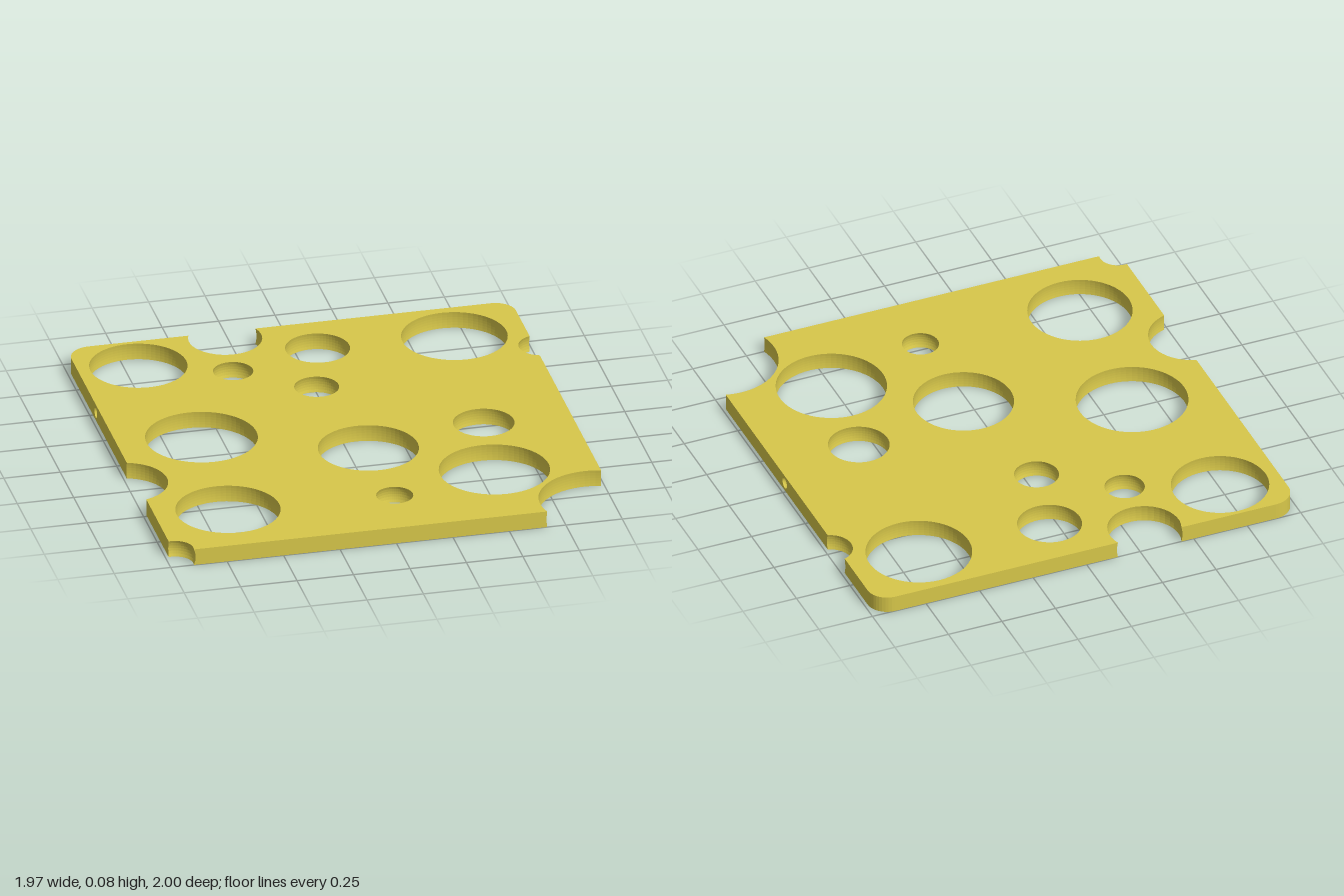
import * as THREE from 'three';

const W = 0.985, H = 0.075, PIT = 0.025, PATCH = 0.035, LEVELS = 6;
const COLOR = 0xd8c84a;

// Plan coordinates are (x, v) with v = -z. Radii are measured at the top and bottom faces.
const holes = [
  [-0.72, 0.77, 0.212], [-0.335, 0.625, 0.087], [0.07, 0.755, 0.14], [0.67, 0.73, 0.23],
  [-0.02, 0.395, 0.097], [-0.615, 0.04, 0.243], [0.06, -0.228, 0.218], [0.6, -0.106, 0.133],
  [0.54, -0.555, 0.24], [-0.665, -0.66, 0.227], [0.065, -0.695, 0.08],
];
const pits = { right: -0.013, left: 0.45 };

// Every bubble is a sphere centred at mid height, so its radius swells between the faces
const radiusAt = (r, y) => Math.sqrt(r * r + (H / 2) ** 2 - (y - H / 2) ** 2);

function arc(cx, cv, r, a0, a1, n) {
  return Array.from({ length: n + 1 }, (_, i) => {
    const a = a0 + (a1 - a0) * i / n;
    return new THREE.Vector2(cx + r * Math.cos(a), cv + r * Math.sin(a));
  });
}

const holeRing = ([x, v, r], y) => arc(x, v, radiusAt(r, y), 0, -Math.PI * 2, 64).slice(0, -1);

// Bite out of the edge, running clockwise between two edge crossings: [axis, edge, sign]
function bite(cx, cv, r0, from, to, y) {
  const r = radiusAt(r0, y);
  const angle = ([axis, edge, sign]) => {
    const d = edge - (axis === 'x' ? cx : cv), s = sign * Math.sqrt(r * r - d * d);
    return axis === 'x' ? Math.atan2(s, d) : Math.atan2(d, s);
  };
  const a0 = angle(from);
  let a1 = angle(to);
  while (a1 > a0) a1 -= Math.PI * 2;
  return arc(cx, cv, r, a0, a1, 24);
}

// Two edge points between which the wall is left open for a pitted patch
function pitGap(x, v, dir) {
  const pts = [-1, 1].map((s) => new THREE.Vector2(x, v + s * dir * PATCH));
  pts[0].gap = true;
  return pts;
}

// Counter-clockwise outline of the slab at height y
function outline(y) {
  return [
    ...bite(-0.975, -0.98, 0.08, ['x', -W, 1], ['v', -1, 1], y),
    ...bite(0.915, -0.92, 0.26, ['v', -1, -1], ['x', W, 1], y),
    ...pitGap(W, pits.right, 1),
    ...bite(1.0145, 0.56, 0.0995, ['x', W, -1], ['x', W, 1], y),
    ...arc(W - 0.09, 0.91, 0.09, 0, Math.PI / 2, 10),
    ...bite(-0.295, 0.94, 0.16, ['v', 1, 1], ['v', 1, -1], y),
    ...arc(-W + 0.1, 0.9, 0.1, Math.PI / 2, Math.PI, 10),
    ...pitGap(-W, pits.left, -1),
    ...bite(-1.0375, -0.305, 0.1875, ['x', -W, 1], ['x', -W, -1], y),
  ];
}

// Wall lofted through the rings that ringAt(y) gives at each level
function wall(ringAt) {
  const pos = [], index = [];
  let n = 0, first;
  for (let k = 0; k <= LEVELS; k++) {
    const y = H * k / LEVELS, ring = ringAt(y);
    first ??= ring;
    n = ring.length;
    for (const p of ring) pos.push(p.x, y, -p.y);
  }
  for (let k = 0; k < LEVELS; k++) {
    for (let i = 0; i < n; i++) {
      if (first[i].gap) continue;
      const a = k * n + i, b = k * n + (i + 1) % n;
      index.push(a, b, b + n, a, b + n, a + n);
    }
  }
  const g = new THREE.BufferGeometry();
  g.setAttribute('position', new THREE.Float32BufferAttribute(pos, 3));
  g.setIndex(index);
  g.computeVertexNormals();
  return g;
}

export function createModel() {
  const model = new THREE.Group();
  model.name = 'cheeseSlice';
  const flat = new THREE.MeshStandardMaterial({ color: COLOR, flatShading: true });
  const inner = new THREE.MeshStandardMaterial({ color: COLOR, side: THREE.BackSide });
  const add = (parent, name, geometry, material) => {
    const mesh = new THREE.Mesh(geometry, material);
    mesh.name = name;
    parent.add(mesh);
    return mesh;
  };

  // Top and bottom faces
  const face = new THREE.Shape(outline(H));
  face.holes = holes.map((h) => new THREE.Path(holeRing(h, H)));
  const cap = new THREE.ShapeGeometry(face).rotateX(-Math.PI / 2);
  add(model, 'topFace', cap, flat).position.y = H;
  add(model, 'bottomFace', cap, inner);

  // Rim and hole walls
  add(model, 'rim', wall(outline), flat);
  holes.forEach((h, i) => add(model, `holeWall${i + 1}`, wall((y) => holeRing(h, y)), flat));

  // Small round pits in the two side edges
  const panel = new THREE.Shape([[-1, 0], [1, 0], [1, H], [-1, H]]
    .map(([s, t]) => new THREE.Vector2(s * PATCH, t)));
  panel.holes.push(new THREE.Path(arc(0, H / 2, PIT, 0, -Math.PI * 2, 20).slice(0, -1)));
  for (const [side, name] of [[1, 'right'], [-1, 'left']]) {
    const pit = new THREE.Group();
    pit.name = `${name}EdgePit`;
    pit.position.set(side * W, 0, -pits[name]);
    pit.rotation.y = side * Math.PI / 2;
    add(pit, 'pitPanel', new THREE.ShapeGeometry(panel), flat);
    const bowl = new THREE.SphereGeometry(PIT, 20, 6, 0, Math.PI * 2, 0, Math.PI / 2);
    add(pit, 'pitBowl', bowl.rotateX(-Math.PI / 2), inner).position.y = H / 2;
    model.add(pit);
  }
  return model;
}
